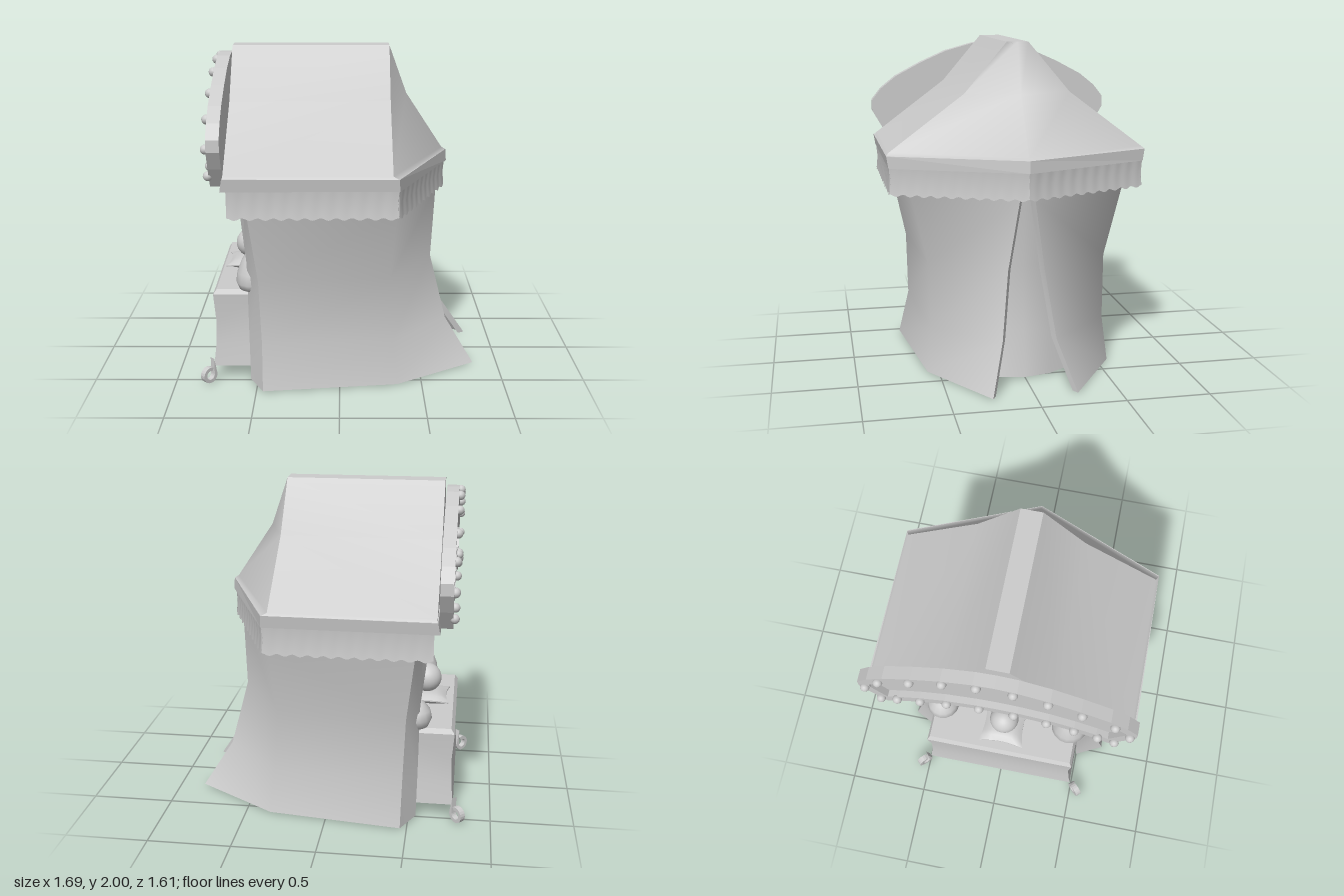
import * as THREE from 'three';

const mat = new THREE.MeshStandardMaterial({ color: 0xcccccc, side: THREE.DoubleSide });
const flatMat = new THREE.MeshStandardMaterial({ color: 0xcccccc, side: THREE.DoubleSide, flatShading: true });

function add(parent, name, geometry, material = mat) {
  const m = new THREE.Mesh(geometry, material);
  m.name = name;
  parent.add(m);
  return m;
}

// Surface through rows of [x, y, z] points; closed wraps each row and caps both ends
function loft(rows, closed = false) {
  const n = rows[0].length, idx = [];
  for (let r = 0; r < rows.length - 1; r++)
    for (let i = 0; i < (closed ? n : n - 1); i++) {
      const j = (i + 1) % n, a = r * n + i, b = r * n + j;
      idx.push(a, b, a + n, b, b + n, a + n);
    }
  if (closed) for (let i = 1; i < n - 1; i++) {
    const t = (rows.length - 1) * n;
    idx.push(0, i + 1, i, t, t + i, t + i + 1);
  }
  const g = new THREE.BufferGeometry();
  g.setAttribute('position', new THREE.Float32BufferAttribute(rows.flat(2), 3));
  g.setIndex(idx);
  g.computeVertexNormals();
  return g;
}

// Symmetric outline from one half, listed from top centre to bottom centre
function mirrored(half) {
  const other = half.slice(1, -1).reverse().map(([z, y]) => [-z, y]);
  return [...half, ...other].map(([z, y]) => new THREE.Vector2(z, y));
}

// Extrude a (z, y) outline toward -x, with its back at x
function plate(shape, x, depth) {
  return new THREE.ExtrudeGeometry(shape, { depth, bevelEnabled: false }).rotateY(-Math.PI / 2).translate(x, 0, 0);
}

function buildRoof(g) {
  const roof = new THREE.Group();
  roof.name = 'roof';
  g.add(roof);
  // [y, half width, corner x, hip point x]
  const rows = [[2, 0.065, 0.3, 0.3], [1.7, 0.32, 0.3, 0.41], [1.36, 0.775, 0.3, 0.635], [1.345, 0.79, 0.33, 0.66]];
  for (const s of [1, -1])
    add(roof, 'roofSide', loft(rows.map(([y, w, c]) => [[-0.65, y, s * w], [c, y, s * w]])));
  add(roof, 'roofHip', loft(rows.map(([y, w, c, p]) => [[c, y, w], [p, y, 0], [c, y, -w]])));
  add(roof, 'roofGable', loft(rows.map(([y, w]) => [[-0.65, y, w], [-0.65, y, -w]])));
  add(roof, 'roofRidge', new THREE.BoxGeometry(0.95, 0.01, 0.13).translate(-0.175, 1.995, 0));
  // Eave band
  const ring = (y, x0, w, c, p) => [[x0, y, w], [c, y, w - 0.01], [p, y, 0], [c, y, 0.01 - w], [x0, y, -w]];
  add(roof, 'eaveBand', loft([ring(1.272, -0.668, 0.788, 0.338, 0.667), ring(1.345, -0.655, 0.8, 0.335, 0.662)], true), flatMat);

  // Scalloped valance along both sides and the hip, with very shallow pleats
  const path = [[-0.635, 0.785], [0.335, 0.775], [0.655, 0], [0.335, -0.775], [-0.635, -0.785]];
  const profile = [[0, 0], [0.5, 0.008], [1, 0]];
  for (let k = 0; k < 4; k++) {
    const [ax, az] = path[k], [bx, bz] = path[k + 1];
    const len = Math.hypot(bx - ax, bz - az), n = Math.round(len / 0.085), steps = n * 6;
    const nx = -(bz - az) / len, nz = (bx - ax) / len;
    add(roof, 'valance', loft(profile.map(([t, inset]) => {
      const row = [];
      for (let i = 0; i <= steps; i++) {
        const u = i / steps, w = Math.sin(Math.PI * n * u) ** 2, out = 0.003 * w - inset;
        row.push([ax + (bx - ax) * u + nx * out, 1.28 - t * (0.16 + 0.014 * w), az + (bz - az) * u + nz * out]);
      }
      return row;
    })));
  }
}

function buildWalls(g) {
  // Plan position [x, z] of each wall line, from the ground up
  const ys = [0.005, 0.28, 0.68, 1.11, 1.28];
  const slit = [[0.847, 0.25], [0.672, 0.162], [0.572, 0.11], [0.602, 0.045], [0.61, 0.03]];
  const corner = [[0.35, 0.57], [0.32, 0.54], [0.3, 0.55], [0.33, 0.65], [0.33, 0.69]];
  const side = [[-0.46, 0.67], [-0.465, 0.603], [-0.48, 0.61], [-0.53, 0.7], [-0.55, 0.74]];
  const front = [[-0.545, 0.5], [-0.55, 0.49], [-0.555, 0.49], [-0.565, 0.53], [-0.57, 0.55]];
  const hem = slit.map(([x, z]) => [x - 0.04, z - 0.022]);
  // Inner edge of the drawn curtain beside the opening
  const drape = [[-0.52, 0.5], [-0.53, 0.48], [-0.55, 0.48], [-0.6, 0.45], [-0.615, 0.42]];
  const sheet = (...lines) => loft(ys.map((y, i) => lines.map(l => [l[i][0], y, l[i][1]])));
  for (const s of [1, -1]) {
    const half = new THREE.Group();
    half.name = s > 0 ? 'leftWall' : 'rightWall';
    half.scale.z = s;
    add(half, 'wallCloth', sheet(slit, corner, side));
    add(half, 'flapHem', sheet(hem, slit));
    add(half, 'frontFold', sheet(side, front));
    add(half, 'frontDrape', sheet(front, drape));
    g.add(half);
  }
  // Inner curtain behind the slit
  const cx = [0.55, 0.5, 0.47, 0.53, 0.54];
  add(g, 'innerCurtain', loft(ys.map((y, i) => [-2, -1, 0, 1, 2].map(k => [cx[i] - 0.035 * k * k, y, k * 0.16]))));
}

function buildSign(g) {
  const sign = new THREE.Group();
  sign.name = 'sign';
  g.add(sign);
  const outer = mirrored([[0, 1.955], [0.12, 1.945], [0.3, 1.895], [0.47, 1.82], [0.64, 1.73], [0.74, 1.65], [0.803, 1.57],
    [0.803, 1.5], [0.74, 1.39], [0.66, 1.272], [0.57, 1.33], [0.44, 1.395], [0.29, 1.445], [0.12, 1.475], [0, 1.48]]);
  const inner = mirrored([[0, 1.89], [0.12, 1.88], [0.28, 1.835], [0.44, 1.765], [0.6, 1.675], [0.69, 1.6], [0.735, 1.55],
    [0.735, 1.51], [0.65, 1.365], [0.58, 1.405], [0.45, 1.465], [0.3, 1.515], [0.12, 1.545], [0, 1.55]]);
  add(sign, 'signPanel', plate(new THREE.Shape(outer), -0.66, 0.035));
  const frame = new THREE.Shape(outer);
  frame.holes.push(new THREE.Path(inner));
  add(sign, 'signFrame', plate(frame, -0.66, 0.075));
  const bulb = new THREE.SphereGeometry(0.028, 12, 8);
  for (const [z, y] of [[0.1, 1.92], [0.29, 1.87], [0.48, 1.775], [0.67, 1.66], [0.765, 1.51],
    [0.69, 1.34], [0.59, 1.375], [0.45, 1.425], [0.29, 1.48], [0.1, 1.512]])
    for (const s of [1, -1]) add(sign, 'bulb', bulb).position.set(-0.742, y, s * z);
}

function buildCounter(g) {
  const counter = new THREE.Group();
  counter.name = 'counter';
  g.add(counter);
  // Hollow body, open below and behind: [y, front x, half width]
  const rows = [[0.09, -0.77, 0.49], [0.22, -0.756, 0.475], [0.38, -0.752, 0.465], [0.55, -0.765, 0.48], [0.58, -0.745, 0.465]];
  add(counter, 'counterFront', loft(rows.slice(0, 4).map(([y, x, w]) => [[x, y, w], [x, y, -w]])));
  for (const s of [1, -1])
    add(counter, 'counterSide', loft(rows.slice(0, 4).map(([y, x, w]) => [[-0.45, y, s * w], [x, y, s * w]])));
  // Bevelled top
  const topRows = rows.slice(3).map(([y, x, w]) => [[-0.45, y, w], [x, y, w], [x, y, -w], [-0.45, y, -w]]);
  add(counter, 'counterTop', loft(topRows, true), flatMat);

  // Curled feet at the two front corners
  const curl = new THREE.Shape();
  curl.moveTo(-0.05, 0.1);
  curl.absarc(0, 0, 0.05, Math.PI, Math.PI * 2.65, false);
  curl.absarc(0, 0, 0.029, Math.PI * 2.65, Math.PI, true);
  curl.lineTo(-0.029, 0.1);
  for (const s of [1, -1]) {
    const foot = add(counter, 'curledFoot', new THREE.ExtrudeGeometry(curl, { depth: 0.036, bevelEnabled: false, curveSegments: 8 }).translate(0, 0, -0.018), flatMat);
    foot.position.set(-0.798, 0.05, s * 0.533);
    foot.rotation.y = s * -Math.PI * 0.75;
  }

  // Cushion: thick in the middle, pinched at the edges
  const cushion = new THREE.BoxGeometry(0.29, 0.08, 0.29, 8, 1, 8);
  const p = cushion.attributes.position;
  for (let i = 0; i < p.count; i++) {
    const u = p.getX(i) / 0.145, v = p.getZ(i) / 0.145;
    p.setXYZ(i, p.getX(i) * (1 - 0.14 * (1 - v * v)), p.getY(i) * (0.1 + 0.9 * Math.sqrt((1 - u * u) * (1 - v * v))),
      p.getZ(i) * (1 - 0.14 * (1 - u * u)));
  }
  cushion.computeVertexNormals();
  add(counter, 'cushion', cushion).position.set(-0.573, 0.615, 0);
  add(counter, 'ball', new THREE.SphereGeometry(0.092, 24, 16)).position.set(-0.573, 0.73, 0);

  // Jars at either end
  const jar = pts => new THREE.LatheGeometry(pts.map(([r, y]) => new THREE.Vector2(r, y)), 16);
  add(counter, 'tiedJar', jar([[0, 0], [0.1, 0], [0.118, 0.04], [0.11, 0.1], [0.08, 0.18], [0.05, 0.225], [0.045, 0.24], [0.065, 0.27], [0, 0.27]]))
    .position.set(-0.51, 0.58, 0.42);
  add(counter, 'roundJar', jar([[0, 0], [0.085, 0], [0.105, 0.05], [0.095, 0.1], [0.06, 0.14], [0.03, 0.16], [0, 0.16]]))
    .position.set(-0.52, 0.58, -0.42);
  add(counter, 'jarKnob', new THREE.SphereGeometry(0.035, 12, 8)).position.set(-0.52, 0.765, -0.42);
}

export function createModel() {
  const g = new THREE.Group();
  g.name = 'marketTent';
  buildRoof(g);
  buildWalls(g);
  buildSign(g);
  buildCounter(g);
  return g;
}
